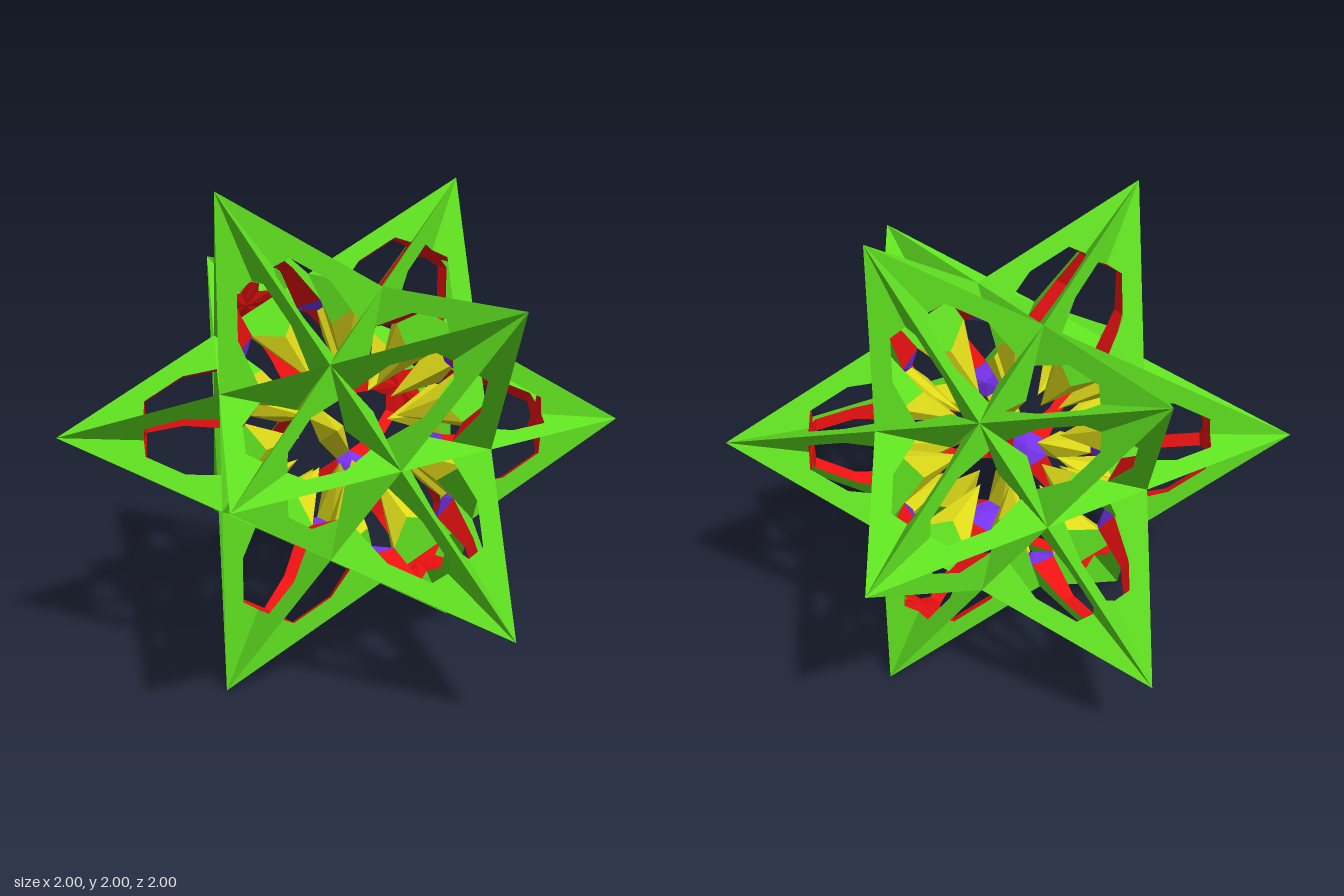
import * as THREE from 'three';

// Twelve-pointed open star: the visible facets of a great icosahedron with a window cut across every valley.
const PHI = (1 + Math.sqrt(5)) / 2;
const A = 1 / PHI;

// Star tips: corners of an icosahedron.
function starTips() {
  const tips = [];
  for (const s of [1, -1]) for (const t of [1, -1]) {
    tips.push(new THREE.Vector3(s, t * A, 0), new THREE.Vector3(0, s, t * A), new THREE.Vector3(t * A, 0, s));
  }
  return tips;
}

// Collects flat triangles, each turned to agree with a reference direction.
class Surface {
  constructor() { this.data = []; }
  poly(ref, ...p) {
    for (let i = 1; i < p.length - 1; i++) {
      const n = p[i].clone().sub(p[0]).cross(p[i + 1].clone().sub(p[0]));
      const tri = n.dot(ref) >= 0 ? [p[0], p[i], p[i + 1]] : [p[0], p[i + 1], p[i]];
      for (const v of tri) this.data.push(v.x, v.y, v.z);
    }
  }
  mesh(name, color, side) {
    const g = new THREE.BufferGeometry();
    g.setAttribute('position', new THREE.Float32BufferAttribute(this.data, 3));
    g.computeVertexNormals();
    const m = new THREE.Mesh(g, new THREE.MeshStandardMaterial({ color, side, flatShading: true }));
    m.name = name;
    return m;
  }
}

// Facet points as (distance along the ridge from the tip, distance in from the ridge).
const NODE = [2 * A * A, 0];
const LEG = [0.743, 0.158];
const BEND = [0.56, 0.078];
const CORNER = [0.375, 0.078];
const VALLEY = [0.335, 0.137];
const MID_LEG = [0.889, 0.097];
const APEX = [1, 0.183];

export function createModel() {
  const tips = starTips();
  const facets = new Surface(), walls = new Surface(), braces = new Surface(), nodes = new Surface();
  const linked = (a, b) => Math.abs(a.distanceTo(b) - 2) < 0.01;

  for (let i = 0; i < 12; i++) for (let j = i + 1; j < 12; j++) {
    if (!linked(tips[i], tips[j])) continue;
    const mid = tips[i].clone().add(tips[j]).multiplyScalar(0.5);
    // The two big triangles that meet at this ridge.
    const thirds = tips.filter(f => linked(f, tips[i]) && linked(f, tips[j]));
    const inward = thirds.map(f => f.clone().sub(mid).normalize());
    const normals = thirds.map(f => f.clone().add(tips[i]).add(tips[j]));
    const inner = mid.clone().multiplyScalar(0.38);

    for (const [v, w] of [[tips[i], tips[j]], [tips[j], tips[i]]]) {
      const along = w.clone().sub(v).multiplyScalar(0.5);
      const at = (k, [u, t]) => v.clone().addScaledVector(along, u).addScaledVector(inward[k], t);
      const pair = q => [at(0, q), at(1, q)];
      const node = at(0, NODE);
      const capTip = v.clone().multiplyScalar(0.69);
      const capNode = node.clone().multiplyScalar(0.76);
      const back = mid.clone().negate();

      for (const k of [0, 1]) {
        const n = normals[k];
        // Spike facet around its window, and half of the middle diamond.
        facets.poly(n, v, at(k, CORNER), at(k, VALLEY));
        facets.poly(n, v, node, at(k, BEND), at(k, CORNER));
        facets.poly(n, node, at(k, LEG), at(k, BEND));
        facets.poly(n, node, mid, at(k, APEX));
        // Underside of the solid tip.
        walls.poly(v.clone().negate(), capTip, at(k, CORNER), at(k, VALLEY));
        // Inner wedge under the middle of the ridge.
        braces.poly(inward[k].clone().sub(inward[1 - k]), at(k, MID_LEG), at(k, APEX), inner);
      }

      // Back walls of the spike bars.
      const [c0, c1] = pair(CORNER), [b0, b1] = pair(BEND), [l0, l1] = pair(LEG), [m0, m1] = pair(MID_LEG);
      walls.poly(v.clone().negate(), capTip, c0, c1);
      walls.poly(back, c0, c1, b1, b0);
      walls.poly(back, b0, b1, l1, l0);
      // End of the wedge and the inside of the junction.
      braces.poly(along.clone().negate(), m0, m1, inner);
      nodes.poly(node.clone().negate(), capNode, l0, l1);
      nodes.poly(node.clone().negate(), capNode, m0, m1);
    }
  }

  const star = new THREE.Group();
  star.name = 'openStar';
  star.add(
    facets.mesh('outerFacets', 0x5fe020, THREE.FrontSide),
    walls.mesh('windowWalls', 0xee1111, THREE.DoubleSide),
    braces.mesh('innerBraces', 0xdfda18, THREE.DoubleSide),
    nodes.mesh('innerJunctions', 0x7733ee, THREE.DoubleSide)
  );
  star.position.y = 1;
  const group = new THREE.Group();
  group.add(star);
  return group;
}
